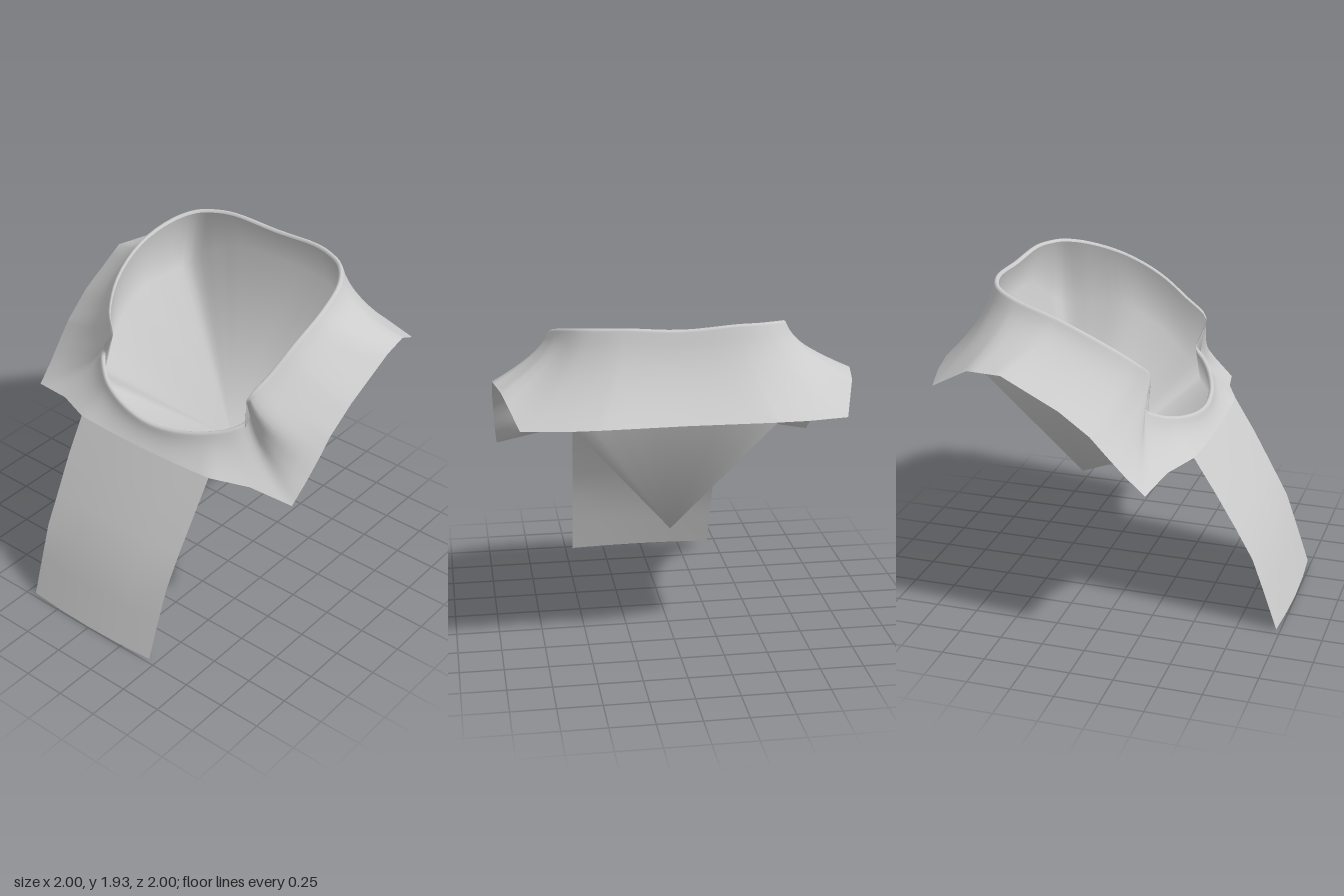
import * as THREE from 'three';

const V = (p) => new THREE.Vector3(...p);

// Collar rim, back centre to front centre, for the -x side and the +x side
const rimRight = [
  [0, 1.91, -0.735], [-0.3, 1.925, -0.72], [-0.42, 1.92, -0.69], [-0.52, 1.91, -0.63], [-0.6, 1.88, -0.5],
  [-0.64, 1.81, -0.25], [-0.61, 1.685, 0], [-0.53, 1.56, 0.16], [-0.465, 1.48, 0.215], [-0.5, 1.39, 0.22],
  [-0.54, 1.3, 0.215], [-0.48, 1.25, 0.275], [-0.38, 1.21, 0.34], [-0.2, 1.17, 0.4], [0, 1.15, 0.42],
];
const rimLeft = [
  [0, 1.91, -0.735], [0.3, 1.925, -0.72], [0.42, 1.92, -0.69], [0.53, 1.91, -0.63], [0.62, 1.88, -0.5],
  [0.665, 1.815, -0.28], [0.655, 1.71, -0.05], [0.625, 1.59, 0.12], [0.585, 1.48, 0.26], [0.57, 1.39, 0.24],
  [0.55, 1.3, 0.215], [0.49, 1.25, 0.275], [0.38, 1.21, 0.34], [0.2, 1.17, 0.4], [0, 1.15, 0.42],
];
// Outer hem of the shoulder cape, +x half, matched point by point to the rim
const hemHalf = [
  [0, 1.46, -0.99], [0.45, 1.46, -1], [0.65, 1.45, -0.965], [0.88, 1.44, -0.9], [0.96, 1.58, -0.66],
  [1, 1.59, -0.45], [0.99, 1.42, -0.13], [0.98, 1.29, 0.04], [0.975, 1.19, 0.13], [0.965, 1.08, 0.23],
  [0.955, 0.975, 0.34], [0.7, 1.01, 0.39], [0.48, 1.02, 0.48], [0.24, 1.02, 0.495], [0, 1.02, 0.5],
];
// Lining loop hidden below the rim, +x half
const seamHalf = [
  [0, 1.7, -0.775], [0.3, 1.68, -0.775], [0.48, 1.6, -0.76], [0.65, 1.47, -0.7], [0.67, 1.47, -0.5],
  [0.665, 1.48, -0.28], [0.64, 1.37, -0.05], [0.59, 1.26, 0.1], [0.54, 1.18, 0.2], [0.53, 1.13, 0.23],
  [0.51, 1.1, 0.25], [0.46, 1.07, 0.3], [0.36, 1.04, 0.36], [0.2, 1.0, 0.42], [0, 0.99, 0.44],
];
const mirror = (pts) => pts.map(([x, y, z]) => [-x, y, z]);
const loop = (a, b) => [...a, ...b.slice(1, -1).reverse()].map(V);

const STEPS = 4;
const rimPts = loop(rimRight, rimLeft);
const hemPts = loop(mirror(hemHalf), hemHalf);
const seamPts = loop(mirror(seamHalf), seamHalf);
const N = rimPts.length * STEPS;

// Smooth closed loop, and one with straight sides
const smooth = (pts) => {
  const curve = new THREE.CatmullRomCurve3(pts, true);
  return Array.from({ length: N }, (_, i) => curve.getPoint(i / N));
};
const straight = (pts) => Array.from({ length: N }, (_, i) => {
  const k = Math.floor(i / STEPS);
  return pts[k].clone().lerp(pts[(k + 1) % pts.length], (i % STEPS) / STEPS);
});

// Skin over rows of points
function loft(rows, closed) {
  const n = rows[0].length, pos = [], idx = [];
  rows.forEach((row) => row.forEach((p) => pos.push(p.x, p.y, p.z)));
  for (let r = 0; r < rows.length - 1; r++) {
    for (let i = 0; i < (closed ? n : n - 1); i++) {
      const j = (i + 1) % n, a = r * n + i, b = r * n + j, c = a + n, d = b + n;
      idx.push(a, b, c, b, d, c);
    }
  }
  const g = new THREE.BufferGeometry();
  g.setAttribute('position', new THREE.Float32BufferAttribute(pos, 3));
  g.setIndex(idx);
  g.computeVertexNormals();
  return g;
}

// Give the last n vertices one shared normal, so a pointed end shades softly
function softenTip(g, n) {
  const normal = g.attributes.normal, sum = new THREE.Vector3(), v = new THREE.Vector3();
  for (let i = normal.count - n; i < normal.count; i++) sum.add(v.fromBufferAttribute(normal, i));
  sum.normalize();
  for (let i = normal.count - n; i < normal.count; i++) normal.setXYZ(i, sum.x, sum.y, sum.z);
  return g;
}

export function createModel() {
  const group = new THREE.Group();
  const cloth = new THREE.MeshStandardMaterial({ color: 0xcccccc, side: THREE.DoubleSide });
  cloth.name = 'light grey cloth';
  const add = (name, geometry) => {
    const mesh = new THREE.Mesh(geometry, cloth);
    mesh.name = name;
    group.add(mesh);
  };

  const rim = smooth(rimPts), hem = straight(hemPts), seam = smooth(seamPts);
  const out = rim.map((p, i) => hem[i].clone().sub(p).setY(0).normalize());
  // Point on the rolled lip at an angle, 0 = outward and PI = inward
  const lip = (a) => rim.map((p, i) => p.clone()
    .addScaledVector(out[i], Math.cos(a) * 0.015).add(V([0, Math.sin(a) * 0.015 - 0.01, 0])));
  const lipRows = [0, 1, 2, 3, 4].map((k) => lip(Math.PI * k / 4));

  // Cape: concave flare from the collar lip to the hem
  const cape = [];
  for (let k = 8; k >= 1; k--) {
    const t = k / 8;
    cape.push(lipRows[0].map((p, i) => {
      const h = hem[i];
      const c = V([p.x + (h.x - p.x) * 0.15, p.y + (h.y - p.y) * 0.5, p.z + (h.z - p.z) * 0.15]);
      return p.clone().multiplyScalar((1 - t) ** 2)
        .addScaledVector(c, 2 * t * (1 - t)).addScaledVector(h, t * t);
    }));
  }
  add('capeAndCollar', loft([...cape, ...lipRows], true));

  // Lining: from the lip to the hidden loop, then down to a single low point
  const tip = V([0, 0.63, -0.34]);
  const lining = [lipRows[4], seam, seam.map(() => tip)];
  add('pointedLining', softenTip(loft(lining, true), N));

  // Front bib hanging from the cape: half width, y, z
  const bibRows = [
    [0.48, 1.02, 0.48], [0.475, 0.82, 0.605], [0.465, 0.62, 0.72],
    [0.46, 0.43, 0.825], [0.455, 0.22, 0.9], [0.452, 0, 0.975],
  ];
  add('frontBib', loft(bibRows.map(([w, y, z]) => [-1, -0.5, 0, 0.5, 1].map(
    (u) => V([u * w, y, z + 0.02 * (1 - u * u)]))), false));

  return group;
}
